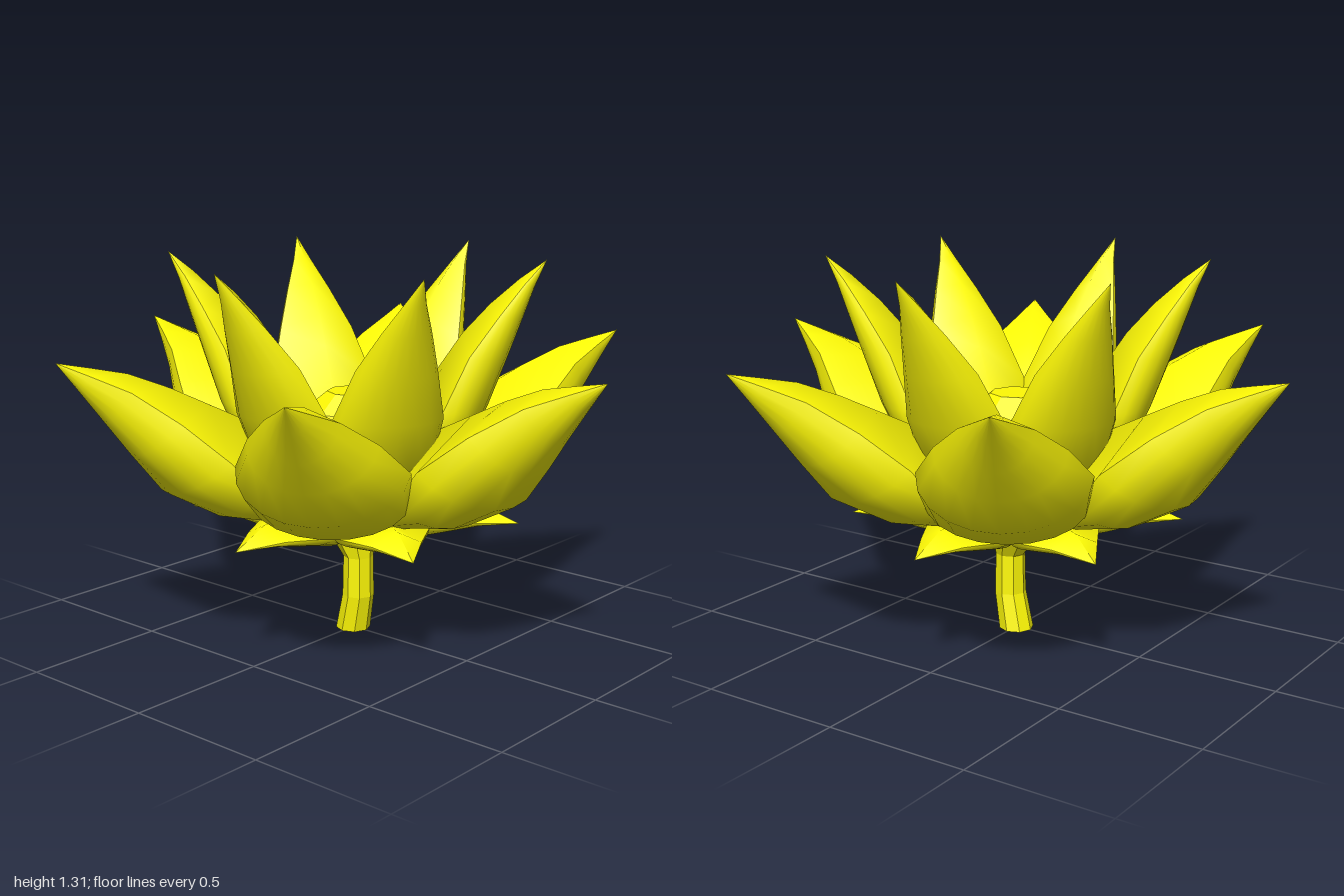
import * as THREE from 'three';

const material = new THREE.MeshStandardMaterial({ color: 0xfffa05, side: THREE.DoubleSide });
const flatMaterial = new THREE.MeshStandardMaterial({ color: 0xfffa05, side: THREE.DoubleSide, flatShading: true });

// Smooth surface through rows of points
function skin(name, rows) {
  const n = rows[0].length, index = [];
  for (let i = 0; i < rows.length - 1; i++) {
    for (let j = 0; j < n - 1; j++) {
      const a = i * n + j, b = a + 1, c = a + n, d = c + 1;
      index.push(a, b, c, b, d, c);
    }
  }
  const geometry = new THREE.BufferGeometry().setFromPoints(rows.flat());
  geometry.setIndex(index);
  geometry.computeVertexNormals();
  const mesh = new THREE.Mesh(geometry, material);
  mesh.name = name;
  return mesh;
}

// Solid petal pointing along +z: a rounded outside and a softly ridged inside.
// Each station is [ridge reach, ridge y, edge reach, edge half width, edge y, keel reach, keel y]
function makePetal(stations) {
  const outside = [], inside = [];
  for (const [rz, ry, ez, w, ey, kz, ky] of stations) {
    const row = [];
    for (let j = 0; j <= 10; j++) {
      const a = (j / 10 - 0.5) * Math.PI, c = Math.cos(a);
      row.push(new THREE.Vector3(w * Math.sin(a), ey + (ky - ey) * c, ez + (kz - ez) * c));
    }
    outside.push(row);
    inside.push([row[10], new THREE.Vector3(0, ry, rz), row[0]]);
  }
  const petal = new THREE.Group();
  petal.add(skin('petalOutside', outside), skin('petalInside', inside));
  return petal;
}

// Six petals around the vertical axis
function makeRing(name, stations, start) {
  const ring = new THREE.Group();
  ring.name = name + 's';
  const first = makePetal(stations);
  for (let i = 0; i < 6; i++) {
    const petal = first.clone();
    petal.name = name;
    petal.rotation.y = start + i * Math.PI / 3;
    ring.add(petal);
  }
  return ring;
}

const point = (r, y) => [r, y, r, 0, y, r, y];

export function createModel() {
  const flower = new THREE.Group();
  flower.name = 'flower';

  // Wide outer petals
  flower.add(makeRing('outerPetal', [
    point(0.05, 0.42),
    [0.20, 0.65, 0.25, 0.20, 0.50, 0.28, 0.425],
    [0.38, 0.775, 0.40, 0.265, 0.58, 0.50, 0.47],
    [0.50, 0.835, 0.50, 0.28, 0.70, 0.67, 0.56],
    [0.63, 0.90, 0.64, 0.205, 0.82, 0.77, 0.69],
    [0.77, 0.957, 0.78, 0.115, 0.915, 0.85, 0.80],
    [0.89, 0.983, 0.90, 0.05, 0.965, 0.93, 0.91],
    point(1, 1.005),
  ], 0));

  // Upright inner petals
  flower.add(makeRing('innerPetal', [
    point(0.05, 0.45),
    [0.14, 0.70, 0.20, 0.13, 0.63, 0.25, 0.50],
    [0.22, 0.83, 0.30, 0.185, 0.74, 0.38, 0.65],
    [0.30, 0.955, 0.33, 0.19, 0.82, 0.46, 0.82],
    [0.37, 1.06, 0.41, 0.135, 1.00, 0.52, 0.98],
    [0.46, 1.16, 0.50, 0.08, 1.13, 0.57, 1.12],
    [0.555, 1.245, 0.575, 0.033, 1.23, 0.605, 1.22],
    point(0.643, 1.31),
  ], Math.PI / 6));

  // Small drooping sepals that join into a skirt under the bloom
  flower.add(makeRing('sepal', [
    point(0.0, 0.335),
    [0.10, 0.38, 0.10, 0.06, 0.36, 0.10, 0.335],
    [0.20, 0.43, 0.20, 0.118, 0.39, 0.20, 0.35],
    [0.32, 0.475, 0.29, 0.167, 0.425, 0.33, 0.385],
    [0.44, 0.472, 0.43, 0.085, 0.428, 0.45, 0.405],
    point(0.575, 0.41),
  ], Math.PI / 6));

  // Faceted heart
  const profile = [[0.15, 0.5], [0.188, 0.70], [0.165, 0.79], [0.09, 0.85], [0, 0.85]];
  const heart = new THREE.Mesh(
    new THREE.LatheGeometry(profile.map(([r, y]) => new THREE.Vector2(r, y)), 8), flatMaterial);
  heart.name = 'heart';
  flower.add(heart);

  // Bent eight-sided stem: height, x, z, radius at each level
  const levels = [[0, 0, 0, 0.06], [0.13, -0.005, 0.028, 0.055], [0.27, -0.005, 0.028, 0.052], [0.35, 0, 0, 0.085]];
  const stemGeometry = new THREE.CylinderGeometry(1, 1, 3, 8, 3);
  const p = stemGeometry.attributes.position;
  for (let i = 0; i < p.count; i++) {
    const [y, x, z, r] = levels[Math.round(p.getY(i) + 1.5)];
    p.setXYZ(i, x + p.getX(i) * r, y, z + p.getZ(i) * r);
  }
  stemGeometry.computeVertexNormals();
  const stem = new THREE.Mesh(stemGeometry, flatMaterial);
  stem.name = 'stem';
  flower.add(stem);

  return flower;
}
